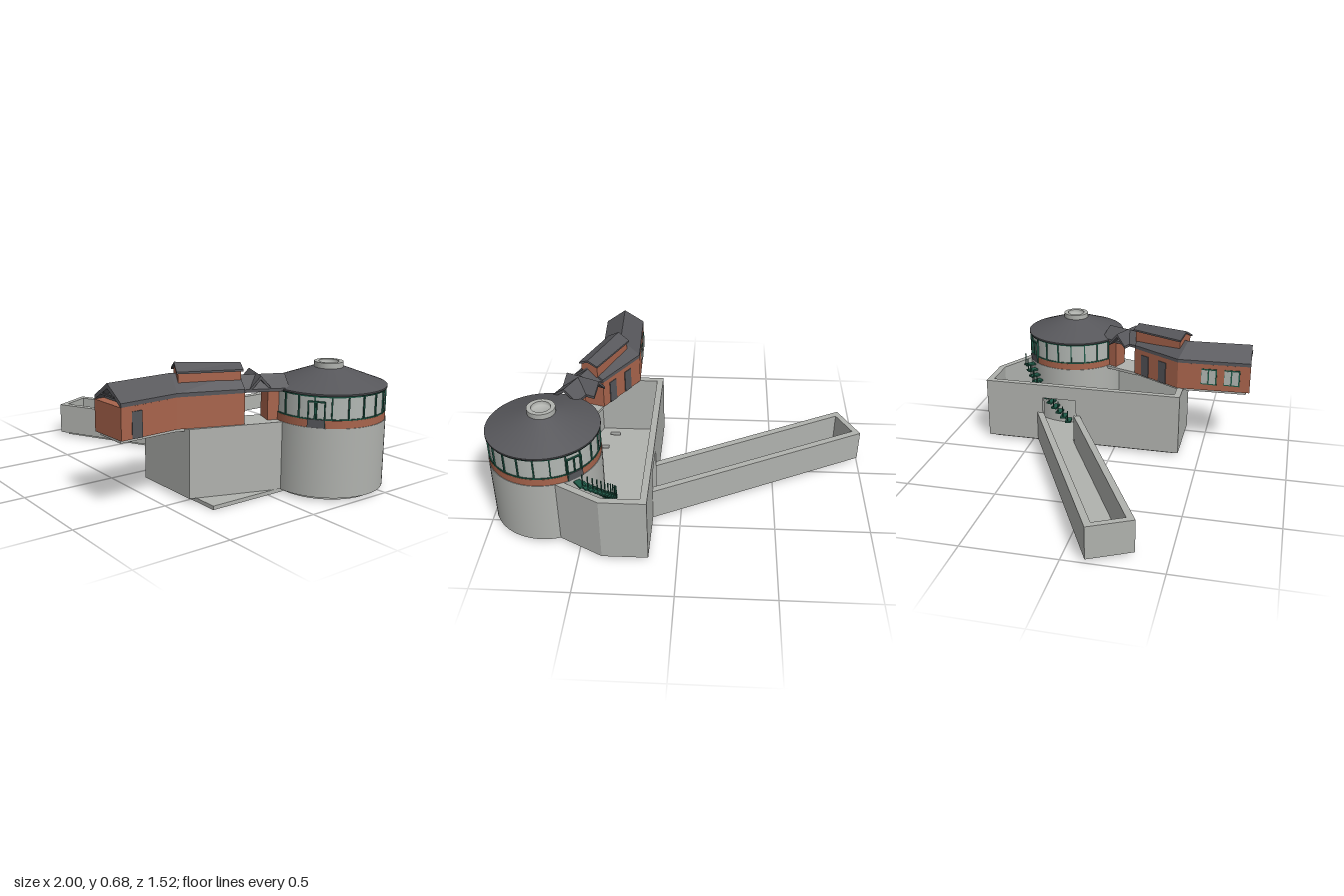
import * as THREE from 'three';

const mat = (name, color) => {
  const m = new THREE.MeshStandardMaterial({ color, side: THREE.DoubleSide });
  m.name = name;
  return m;
};

export function createModel() {
  const model = new THREE.Group();
  model.name = 'hilltopStation';
  const concrete = mat('concrete', 0xb0b2ae);
  const brick = mat('brick', 0xa8644c);
  const slate = mat('slate', 0x57575b);
  const glass = mat('glass', 0xb2b7b3);
  const green = mat('greenFrame', 0x1f5a48);
  const dark = mat('darkDoor', 0x55565a);

  const add = (name, geo, m, parent = model) => {
    const mesh = new THREE.Mesh(geo, m);
    mesh.name = name;
    parent.add(mesh);
    return mesh;
  };

  // Upright prism over a plan outline of [x, z] points
  const prism = (name, plan, y0, y1, m, holes = []) => {
    const toV = ([x, z]) => new THREE.Vector2(x, -z);
    const shape = new THREE.Shape(plan.map(toV));
    holes.forEach(h => shape.holes.push(new THREE.Path(h.map(toV))));
    const geo = new THREE.ExtrudeGeometry(shape, { depth: y1 - y0, bevelEnabled: false });
    geo.rotateX(-Math.PI / 2).translate(0, y0, 0);
    return add(name, geo, m);
  };

  // Flat-shaded solid through matching closed sections of [x, y, z] points
  const loft = (name, sections, m) => {
    const n = sections[0].length, index = [];
    for (let s = 0; s < sections.length - 1; s++) {
      for (let i = 0; i < n; i++) {
        const a = s * n + i, b = s * n + (i + 1) % n;
        index.push(a, b, a + n, b, b + n, a + n);
      }
    }
    // Both ends follow the roof outline: upper points paired with the underside
    const cap = n === 6 ? [0, 1, 5, 1, 2, 5, 2, 3, 5, 3, 4, 5] : [0, 1, 2];
    const last = (sections.length - 1) * n;
    for (let i = 0; i < cap.length; i += 3) {
      index.push(cap[i], cap[i + 2], cap[i + 1]);
      index.push(last + cap[i], last + cap[i + 1], last + cap[i + 2]);
    }
    const geo = new THREE.BufferGeometry();
    geo.setAttribute('position', new THREE.Float32BufferAttribute(sections.flat(2), 3));
    geo.setIndex(index);
    const flat = geo.toNonIndexed();
    flat.computeVertexNormals();
    return add(name, flat, m);
  };

  // Gable roof shell and the filled gable; stations are [left, ridge, right] in plan
  const roofSection = ([l, c, r], eave, ridge, t) => [
    [l[0], eave, l[1]], [l[0], eave + t, l[1]], [c[0], ridge, c[1]],
    [r[0], eave + t, r[1]], [r[0], eave, r[1]], [c[0], ridge - t * 1.3, c[1]]];
  const gableSection = ([l, c, r], eave, ridge) => [
    [l[0], eave, l[1]], [c[0], ridge, c[1]], [r[0], eave, r[1]]];
  const across = ([x, z], w) => [[x - 0.915 * w, z - 0.4 * w], [x, z], [x + 0.915 * w, z + 0.4 * w]];

  const panel = (name, x, z, angle, w, y0, y1, m, d = 0.009) => {
    const p = add(name, new THREE.BoxGeometry(w, y1 - y0, d), m);
    p.position.set(x, (y0 + y1) / 2, z);
    p.rotation.y = angle;
    return p;
  };

  // Ground slabs
  const vent = (x, z) => [[x - 0.03, z - 0.014], [x + 0.03, z - 0.014], [x + 0.03, z + 0.014], [x - 0.03, z + 0.014]];
  prism('courtSlab', [[0.18, -0.73], [0.37, -0.73], [0.59, -0.61], [0.68, -0.1], [0.68, 0.345], [0.18, 0.345]],
    0, 0.02, concrete, [vent(0.49, 0.155), vent(0.437, 0.29)]);
  prism('rampSlab', [[0.18, -0.44], [-0.955, 0.138], [-0.877, 0.288], [0.18, -0.255]], 0.001, 0.021, concrete);

  // Courtyard wall with a gateway, and the long walled passage
  prism('courtWall', [
    [0.145, -0.225], [0.145, 0.38], [0.535, 0.38], [0.70, -0.1], [0.70, -0.5], [0.61, -0.64],
    [0.38, -0.765], [0.145, -0.765], [0.145, -0.426], [0.18, -0.426], [0.18, -0.73], [0.37, -0.73],
    [0.59, -0.61], [0.66, -0.5], [0.66, -0.1], [0.513, 0.345], [0.18, 0.345], [0.18, -0.225]],
    0.02, 0.37, concrete);
  prism('gateLintel', [[0.145, -0.426], [0.18, -0.426], [0.18, -0.225], [0.145, -0.225]], 0.29, 0.37, concrete);
  prism('passageWall', [
    [0.145, -0.46], [-1, 0.12], [-0.89, 0.335], [0.145, -0.2],
    [0.145, -0.24], [-0.877, 0.288], [-0.955, 0.138], [0.145, -0.42]], 0.02, 0.195, concrete);

  // Round tower
  const TX = 0.705, TZ = -0.365;
  const drum = (name, r, y0, y1, m) => {
    const d = add(name, new THREE.CylinderGeometry(r, r, y1 - y0, 64), m);
    d.position.set(TX, (y0 + y1) / 2, TZ);
  };
  drum('towerFoot', 0.258, 0.0005, 0.0205, concrete);
  drum('towerDrum', 0.293, 0.02, 0.37, concrete);
  drum('towerBrickBand', 0.29, 0.37, 0.408, brick);
  drum('towerGlazing', 0.284, 0.408, 0.53, glass);
  drum('lowerRail', 0.289, 0.406, 0.414, green);
  drum('upperRail', 0.289, 0.52, 0.53, green);
  const lathe = (name, pts, m) => {
    const l = add(name, new THREE.LatheGeometry(pts.map(p => new THREE.Vector2(...p)), 64), m);
    l.position.set(TX, 0, TZ);
  };
  lathe('towerEave', [[0.28, 0.528], [0.294, 0.528], [0.294, 0.537]], slate);
  lathe('towerRoof', [[0.294, 0.537], [0.08, 0.617], [0.07, 0.617]], slate);
  lathe('roofVent', [[0.073, 0.61], [0.073, 0.645]], concrete);
  lathe('roofVentRim', [[0.073, 0.645], [0.05, 0.645]], concrete);
  lathe('roofVentInside', [[0.05, 0.645], [0.05, 0.622], [0, 0.622]], concrete);
  for (let i = 0; i < 22; i++) {
    const a = (i / 22) * Math.PI * 2;
    panel('mullion', TX + 0.286 * Math.sin(a), TZ + 0.286 * Math.cos(a), a, 0.007, 0.41, 0.525, green);
  }

  // Tower doors: solid lower panel with a framed upper part
  for (const a of [0.6, -2.42]) {
    const at = (name, off, w, y0, y1, m) => {
      panel(name, TX + 0.29 * Math.sin(a) + off * Math.cos(a), TZ + 0.29 * Math.cos(a) - off * Math.sin(a), a, w, y0, y1, m);
    };
    at('doorPanel', 0, 0.085, 0.371, 0.412, dark);
    for (const off of [-0.04, 0, 0.04]) at('doorFrame', off, 0.006, 0.371, 0.5, green);
    at('doorHead', 0, 0.085, 0.495, 0.502, green);
  }

  // Curved stair from the rear tower door down to the court floor
  for (let i = 0; i < 12; i++) {
    const a = -2.42 + i * 0.085, y = 0.36 - i * 0.028;
    const sx = Math.sin(a), sz = Math.cos(a);
    panel('stairTread', TX + 0.325 * sx, TZ + 0.325 * sz, a, 0.035, y - 0.01, y, green, 0.06);
    panel('stairBaluster', TX + 0.352 * sx, TZ + 0.352 * sz, a, 0.005, y, y + 0.07, green, 0.005);
  }

  // Brick house, bent in plan
  const front = [[0.295, 0.755], [0.405, 0.75], [0.515, 0.745]];
  const inset = [[0.293, 0.705], [0.403, 0.7], [0.513, 0.695]];
  const bend = [[0.28, 0.345], [0.39, 0.385], [0.50, 0.425]];
  const back = [[0.455, 0.06], [0.54, 0.085], [0.62, 0.11]];
  prism('houseWalls', [front[0], front[2], bend[2], back[2], back[0], bend[0]], 0.37, 0.527, brick);
  prism('houseFloor', [[0.31, 0.735], [0.49, 0.735], [0.48, 0.42], [0.6, 0.1], [0.47, 0.075], [0.30, 0.35]], 0.352, 0.371, concrete);
  loft('houseRoof', [roofSection(front, 0.526, 0.622, 0.02), roofSection(bend, 0.526, 0.622, 0.02),
    roofSection(back, 0.526, 0.61, 0.02)], slate);
  loft('houseGable', [gableSection(inset, 0.525, 0.6), gableSection(bend, 0.525, 0.6), gableSection(back, 0.525, 0.59)], dark);
  panel('gableTie', 0.405, 0.748, 0, 0.12, 0.56, 0.568, slate);

  // Raised lantern along the rear ridge
  const l1 = [0.402, 0.365], l2 = [0.528, 0.08];
  const lan1 = across(l1, 0.056), lan2 = across(l2, 0.05);
  prism('lanternWalls', [lan1[0], lan1[2], lan2[2], lan2[0]], 0.56, 0.636, brick);
  loft('lanternGable', [gableSection(lan1, 0.634, 0.665), gableSection(lan2, 0.63, 0.65)], brick);
  loft('lanternRoof', [roofSection(across([0.398, 0.373], 0.066), 0.628, 0.676, 0.01),
    roofSection(across([0.533, 0.07], 0.058), 0.626, 0.66, 0.01)], slate);

  // Open link between house and tower with a crossing gable
  prism('linkFloor', [[0.46, 0.07], [0.61, 0.11], [0.68, -0.12], [0.55, -0.16]], 0.353, 0.37, concrete);
  prism('linkWalls', [[0.53, -0.07], [0.622, -0.035], [0.66, -0.12], [0.57, -0.15]], 0.37, 0.53, brick);
  loft('linkRoof', [roofSection(across([0.53, 0.1], 0.075), 0.526, 0.6, 0.015),
    roofSection(across([0.635, -0.13], 0.08), 0.526, 0.6, 0.015)], slate);
  const cross = s => {
    const x = 0.55 + s * 0.093, z = -0.01 + s * 0.04;
    return [[x + 0.022, z - 0.052], [x, z], [x - 0.022, z + 0.052]];
  };
  loft('crossRoof', [roofSection(cross(-1), 0.526, 0.606, 0.015), roofSection(cross(1), 0.526, 0.606, 0.015)], slate);

  // House doors and windows
  panel('sideDoor', 0.511, 0.658, Math.PI / 2 - 0.045, 0.055, 0.371, 0.5, dark);
  for (const t of [0.35, 0.75]) {
    panel('rearDoor', 0.28 + 0.175 * t, 0.345 - 0.285 * t, Math.atan2(-0.285, -0.175), 0.055, 0.371, 0.5, dark);
  }
  for (const z of [0.52, 0.65]) {
    const x = 0.28 + (z - 0.345) * 0.0366, a = -Math.PI / 2 - 0.036;
    panel('windowFrame', x, z, a, 0.095, 0.405, 0.5, green, 0.006);
    for (const s of [-0.022, 0.022]) panel('windowPane', x, z + s, a, 0.036, 0.412, 0.493, glass);
  }
  return model;
}
